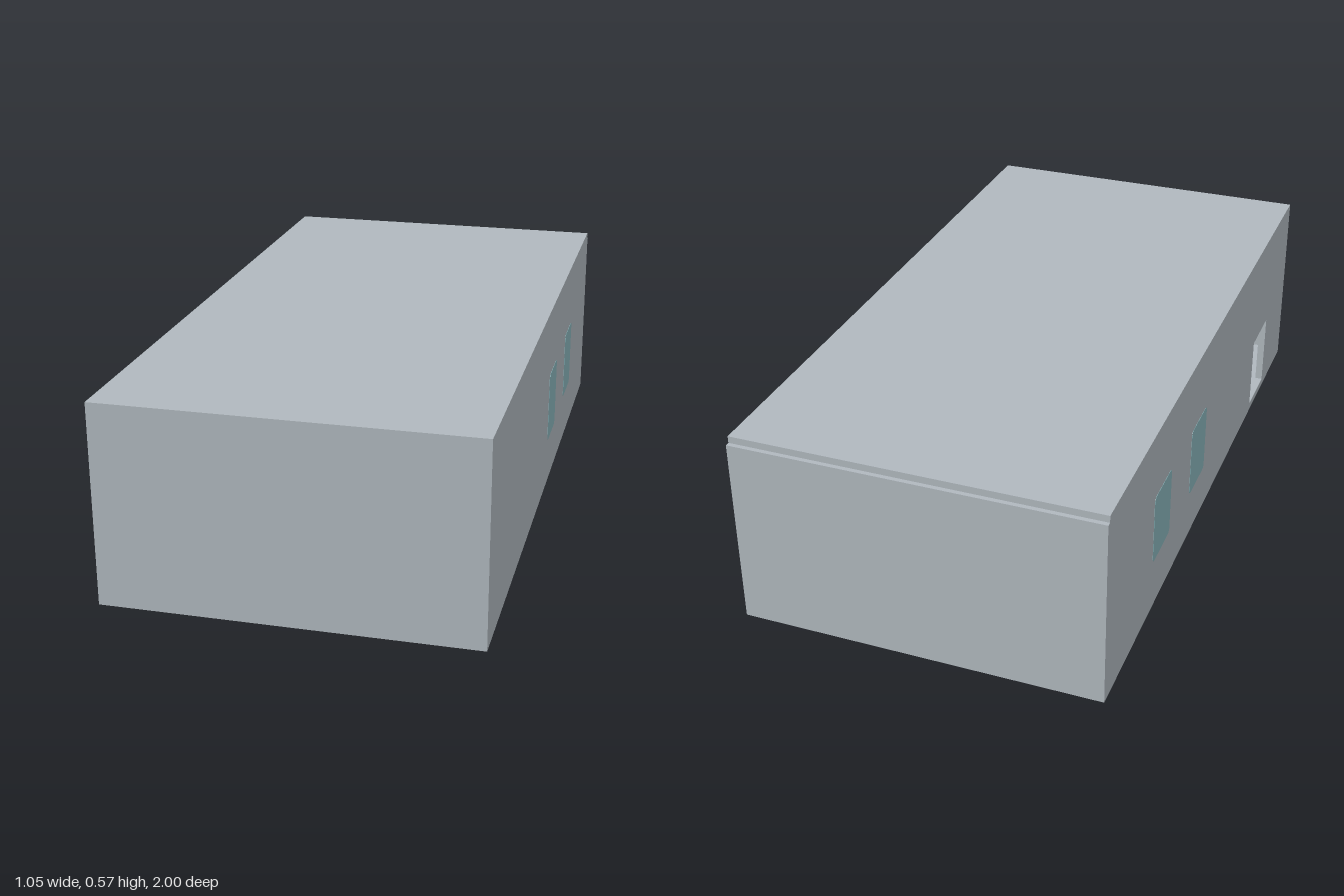
import * as THREE from 'three';

const W = 0.522, H = 0.575, T = 0.022, WALL_TOP = 0.555;

// Rectangle outline with rounded corners, in the (z, y) plane of a side wall
function roundedRect(path, z0, z1, y0, y1, r) {
  path.moveTo(z0 + r, y0);
  path.lineTo(z1 - r, y0);
  path.quadraticCurveTo(z1, y0, z1, y0 + r);
  path.lineTo(z1, y1 - r);
  path.quadraticCurveTo(z1, y1, z1 - r, y1);
  path.lineTo(z0 + r, y1);
  path.quadraticCurveTo(z0, y1, z0, y1 - r);
  path.lineTo(z0, y0 + r);
  path.quadraticCurveTo(z0, y0, z0 + r, y0);
  return path;
}

function rect(path, z0, z1, y0, y1) {
  path.moveTo(z0, y0);
  path.lineTo(z1, y0);
  path.lineTo(z1, y1);
  path.lineTo(z0, y1);
  path.closePath();
  return path;
}

// Extrude a (z, y) shape across x, centred on xMid
function slab(shape, xMid, thickness) {
  const g = new THREE.ExtrudeGeometry(shape, { depth: thickness, bevelEnabled: false, curveSegments: 5 });
  g.rotateY(-Math.PI / 2);
  g.translate(xMid + thickness / 2, 0, 0);
  return g;
}

export function createModel() {
  const model = new THREE.Group();
  model.name = 'building';

  const wallPaint = new THREE.MeshStandardMaterial({ color: 0xb0b8be });
  wallPaint.name = 'grey wall';
  const glass = new THREE.MeshStandardMaterial({ color: 0x89b4ba });
  glass.name = 'teal glass';

  const add = (name, geometry, material) => {
    const mesh = new THREE.Mesh(geometry, material);
    mesh.name = name;
    model.add(mesh);
  };
  const box = (name, x0, x1, y0, y1, z0, z1) => {
    const g = new THREE.BoxGeometry(x1 - x0, y1 - y0, z1 - z0);
    g.translate((x0 + x1) / 2, (y0 + y1) / 2, (z0 + z1) / 2);
    add(name, g, wallPaint);
  };

  // Roof stops just short of the back wall's outer face
  box('roof', -W, W, WALL_TOP, H, -0.987, 1);
  box('frontWall', -W, W, 0, WALL_TOP, 1 - T, 1);
  box('backWall', -W, W, 0, WALL_TOP, -1, -1 + T);
  // Floor sits slightly above the bottom rim of the walls
  box('floor', -W + T, W - T, 0.018, 0.024, -1 + T, 1 - T);

  // Side walls with two windows each; the right-hand one (-x) also has a doorway
  const windows = [
    [-0.22, -0.06, 0.147, 0.363],
    [-0.59, -0.43, 0.157, 0.37],
  ];
  for (const side of [1, -1]) {
    const label = side > 0 ? 'left' : 'right';
    const xMid = side * (W - T / 2);
    const wall = rect(new THREE.Shape(), -1 + T, 1 - T, 0, WALL_TOP);
    if (side < 0) wall.holes.push(rect(new THREE.Path(), 0.56, 0.74, 0.024, 0.256));
    windows.forEach((w, i) => {
      wall.holes.push(roundedRect(new THREE.Path(), ...w, 0.018));
      const pane = roundedRect(new THREE.Shape(), ...w, 0.018);
      add(`${label}Window${i + 1}`, slab(pane, xMid, T + 0.002), glass);
    });
    add(`${label}Wall`, slab(wall, xMid, T), wallPaint);
  }

  return model;
}
